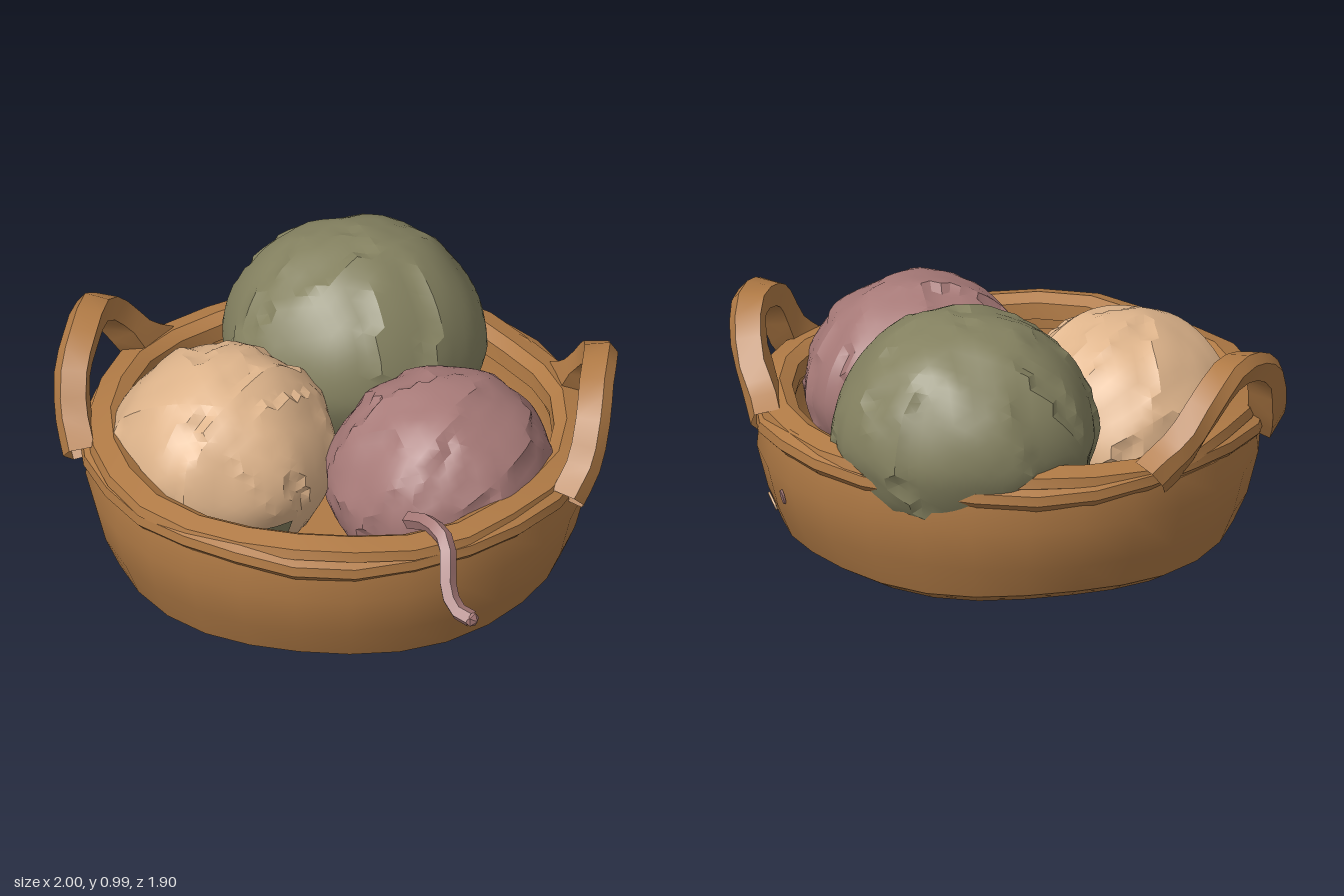
import * as THREE from 'three';
import { toCreasedNormals, mergeVertices } from 'three/addons/utils/BufferGeometryUtils.js';

const material = (name, color, side = THREE.FrontSide) => {
  const m = new THREE.MeshStandardMaterial({ color, side });
  m.name = name;
  return m;
};

const v3 = (p) => new THREE.Vector3(...p);

function mesh(name, geometry, mat, crease = 0.6) {
  const m = new THREE.Mesh(toCreasedNormals(geometry, crease), mat);
  m.name = name;
  return m;
}

// Moves every vertex of a geometry by a rule
function reshape(geometry, rule) {
  const pos = geometry.attributes.position;
  const v = new THREE.Vector3();
  for (let i = 0; i < pos.count; i++) {
    v.fromBufferAttribute(pos, i);
    rule(v);
    pos.setXYZ(i, v.x, v.y, v.z);
  }
  return geometry;
}

function lathe(profile, segments) {
  return new THREE.LatheGeometry(profile.map(([x, y]) => new THREE.Vector2(x, y)), segments);
}

// Narrows the lower half of a unit ball
function taper(v) {
  const k = 1 + 0.18 * Math.min(0, v.y);
  v.x *= k;
  v.z *= k;
}

// Ball of yarn: a sphere with raised, overlapping wound bands
function yarnBall(name, mat, center, radii, seed) {
  let s = seed;
  const random = () => (s = (s * 16807) % 2147483647) / 2147483647;
  const bands = [];
  for (let i = 0; i < 9; i++) {
    bands.push({
      axis: new THREE.Vector3(random() - 0.5, (random() - 0.5) * 0.6, random() - 0.5).normalize(),
      offset: (random() - 0.5) * 1.1,
      width: 0.1 + random() * 0.1,
      lift: 0.03 + random() * 0.03,
    });
  }
  let geo = new THREE.IcosahedronGeometry(1, 11);
  geo.deleteAttribute('normal');
  geo.deleteAttribute('uv');
  geo = reshape(mergeVertices(geo, 1e-4), (v) => {
    let lift = 0;
    for (const b of bands) {
      const d = v.dot(b.axis) - b.offset;
      // each band has one sharp edge and one that fades out
      if (d > -b.width && d < b.width) lift = Math.max(lift, b.lift * (d + b.width) / (2 * b.width));
    }
    const lump = 0.012 * Math.sin(v.x * 5 + seed) * Math.cos(v.y * 4 + v.z * 5);
    v.multiplyScalar(0.975 + lift + lump);
    taper(v);
    v.multiply(v3(radii));
    v.y = Math.max(v.y, 0.06 - center[1]);
  });
  const ball = mesh(name, geo, mat, 0.45);
  ball.position.set(...center);
  return ball;
}

// Bar swept along a curve, thicker where it meets the rim
function handleGeometry(points, halfX, halfN) {
  const curve = new THREE.CatmullRomCurve3(points.map(v3));
  const steps = 14;
  const positions = [];
  const index = [];
  const corners = [[-1, -0.8], [0.6, -1], [1, 0.3], [0.5, 1], [-1, 0.8]];
  const n = corners.length;
  for (let i = 0; i <= steps; i++) {
    const p = curve.getPoint(i / steps);
    const t = curve.getTangent(i / steps);
    const normal = new THREE.Vector3(0, -t.z, t.y).normalize();
    const side = new THREE.Vector3().crossVectors(normal, t).normalize();
    if (side.x < 0) side.negate();
    const out = side.x * Math.sign(p.x);
    const flare = Math.abs(2 * i / steps - 1) ** 2;
    for (const [a, b] of corners) {
      const q = p.clone()
        .addScaledVector(side, a * halfX * Math.sign(out))
        .addScaledVector(normal, b * halfN * (1 + 0.7 * flare));
      positions.push(q.x, q.y, q.z);
    }
  }
  for (let i = 0; i < steps; i++) {
    for (let j = 0; j < n; j++) {
      const a = i * n + j, b = i * n + (j + 1) % n;
      index.push(a, b, a + n, b, b + n, a + n);
    }
  }
  const geo = new THREE.BufferGeometry();
  geo.setAttribute('position', new THREE.Float32BufferAttribute(positions, 3));
  geo.setIndex(index);
  return geo;
}

// Thin spot lying on the outside of the bowl
function wallSpot(name, mat, angle, y, radius, size, slope) {
  const spot = new THREE.Mesh(new THREE.CylinderGeometry(1, 1, 0.008, 7), mat);
  spot.name = name;
  spot.scale.set(size[1], 1, size[0]);
  const out = new THREE.Vector3(Math.cos(angle), slope, Math.sin(angle)).normalize();
  const along = new THREE.Vector3(-Math.sin(angle), 0, Math.cos(angle));
  const up = new THREE.Vector3().crossVectors(out, along);
  spot.quaternion.setFromRotationMatrix(new THREE.Matrix4().makeBasis(up, out, along.negate().negate()));
  spot.position.set(radius * Math.cos(angle), y, radius * Math.sin(angle));
  return spot;
}

export function createModel() {
  const group = new THREE.Group();
  const wicker = material('wicker brown', 0xb07a45, THREE.DoubleSide);
  const cream = material('cream yarn', 0xdeb48b);
  const green = material('olive yarn', 0x848160);
  const pink = material('dusty pink yarn', 0xa67977);

  // Bowl: underside, outer wall, inner wall and floor
  const bowl = lathe([
    [0, 0.02], [0.4, 0.02], [0.73, 0.015], [0.805, 0.06], [0.855, 0.18], [0.895, 0.34], [0.885, 0.45],
    [0.80, 0.47], [0.79, 0.38], [0.75, 0.2], [0.66, 0.1], [0, 0.08],
  ], 28);
  reshape(bowl, (v) => {
    const a = Math.atan2(v.z, v.x);
    if (Math.hypot(v.x, v.z) > 0.6 && v.y < 0.08) v.y += 0.008 * Math.sin(5 * a);
  });
  group.add(mesh('bowl', bowl, wicker));

  // Rim: two uneven, wavy bands lying over each other
  const rims = [
    ['lowerRim', [[0.78, 0.45], [0.88, 0.43], [0.91, 0.46], [0.905, 0.495], [0.86, 0.52], [0.78, 0.51], [0.78, 0.45]], 0],
    ['upperRim', [[0.76, 0.47], [0.86, 0.48], [0.895, 0.50], [0.885, 0.535], [0.81, 0.555], [0.765, 0.53], [0.76, 0.47]], 2],
  ];
  for (const [name, profile, phase] of rims) {
    const geo = reshape(lathe(profile, 26), (v) => {
      const a = Math.atan2(v.z, v.x);
      const k = 1 + 0.01 * Math.sin(5 * a + phase) + 0.006 * Math.sin(9 * a);
      v.x *= k;
      v.z *= k;
      v.y += 0.009 * Math.sin(4 * a + phase) + 0.006 * Math.cos(7 * a + phase);
    });
    group.add(mesh(name, geo, wicker, 0.5));
  }

  // Handles: mirrored arches whose back legs follow the rim inwards
  for (const side of [1, -1]) {
    const path = [
      [0.88, 0.46, 0.26], [0.92, 0.55, 0.18], [0.94, 0.69, 0.1], [0.93, 0.765, -0.02],
      [0.915, 0.785, -0.19], [0.87, 0.69, -0.31], [0.80, 0.56, -0.38], [0.73, 0.47, -0.47],
    ].map(([x, y, z]) => [x * side, y, z]);
    group.add(mesh(side > 0 ? 'leftHandle' : 'rightHandle', handleGeometry(path, 0.06, 0.05), wicker));
  }

  // Yarn balls
  group.add(yarnBall('oliveYarnBall', green, [-0.02, 0.55, -0.49], [0.48, 0.445, 0.455], 4211));
  group.add(yarnBall('creamYarnBall', cream, [-0.39, 0.42, 0.12], [0.405, 0.40, 0.41], 977));
  group.add(yarnBall('pinkYarnBall', pink, [0.40, 0.42, 0.15], [0.41, 0.405, 0.415], 3307));

  // Olive strand under the front of the cream ball
  const strand = reshape(new THREE.SphereGeometry(1.04, 10, 3, 0.8, 1.6, 1.74, 0.3), (v) => {
    taper(v);
    v.multiply(v3([0.405, 0.40, 0.41]));
  });
  strand.translate(-0.39, 0.42, 0.12);
  group.add(mesh('oliveStrand', strand, green));

  // Loose yarn end hanging over the rim
  const tail = new THREE.CatmullRomCurve3([
    [0.36, 0.52, 0.58], [0.45, 0.57, 0.67], [0.52, 0.55, 0.75], [0.545, 0.42, 0.85], [0.58, 0.365, 0.89], [0.64, 0.35, 0.92],
  ].map(v3));
  group.add(mesh('yarnTail', new THREE.TubeGeometry(tail, 10, 0.032, 5), pink));
  const tip = new THREE.Mesh(new THREE.IcosahedronGeometry(0.03, 0), pink);
  tip.name = 'yarnTailTip';
  tip.position.copy(tail.getPoint(1));
  group.add(tip);

  // Small spots of yarn colour on the wall
  group.add(wallSpot('creamSpot', cream, -0.56, 0.16, 0.85, [0.05, 0.033], -0.4));
  group.add(wallSpot('pinkSpot', pink, -0.79, 0.26, 0.876, [0.013, 0.03], -0.25));

  return group;
}
